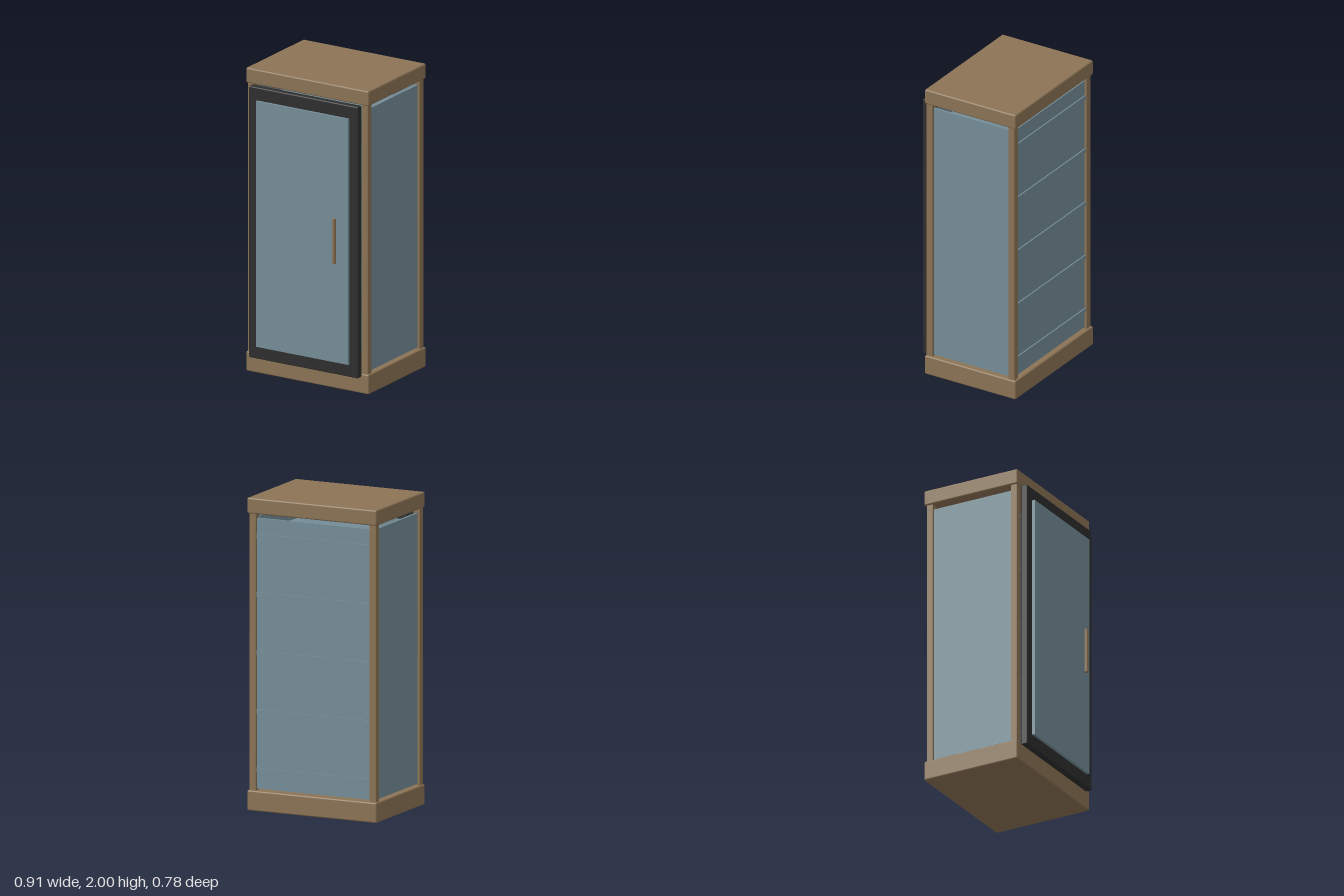
import * as THREE from 'three';
import { RoundedBoxGeometry } from 'three/addons/geometries/RoundedBoxGeometry.js';

export function createModel() {
  const group = new THREE.Group();
  const material = (name, color) => {
    const m = new THREE.MeshStandardMaterial({ color });
    m.name = name;
    return m;
  };
  const wood = material('wood', 0x8b7355);
  const frame = material('blackFrame', 0x2e2e2e);
  const glass = material('blueGlass', 0x748d98);

  const add = (name, geometry, mat, x, y, z) => {
    const mesh = new THREE.Mesh(geometry, mat);
    mesh.name = name;
    mesh.position.set(x, y, z);
    group.add(mesh);
  };
  // Box given by its lower and upper corners, optionally with rounded edges
  const box = (name, mat, [x0, y0, z0], [x1, y1, z1], r = 0) => {
    const size = [x1 - x0, y1 - y0, z1 - z0];
    const geometry = r ? new RoundedBoxGeometry(...size, 2, r) : new THREE.BoxGeometry(...size);
    add(name, geometry, mat, (x0 + x1) / 2, (y0 + y1) / 2, (z0 + z1) / 2);
  };

  // Plinth and top
  box('base', wood, [-0.455, 0, -0.39], [0.455, 0.13, 0.285], 0.01);
  box('top', wood, [-0.455, 1.9, -0.39], [0.455, 2, 0.285], 0.01);

  // Corner posts and side panels
  for (const s of [-1, 1]) {
    const x = s * 0.422;
    box('frontPost', wood, [x - 0.023, 0.12, 0.232], [x + 0.023, 1.91, 0.278], 0.004);
    box('backPost', wood, [x - 0.023, 0.12, -0.376], [x + 0.023, 1.91, -0.33], 0.004);
    box('sidePanel', glass, [x - 0.008, 0.14, -0.335], [x + 0.008, 1.87, 0.235]);
  }

  // Back panel, with shelf edges showing through it
  box('backPanel', glass, [-0.4, 0.14, -0.361], [0.4, 1.87, -0.345]);
  for (let i = 0; i < 5; i++) {
    const y = 0.26 + i * 0.374;
    box('shelf', glass, [-0.398, y - 0.014, -0.37], [0.398, y + 0.014, 0.22]);
  }

  // Door: four frame bars, glass and handle
  for (const s of [-1, 1]) {
    const x = s * 0.3725;
    box('doorStile', frame, [x - 0.0325, 0.11, 0.285], [x + 0.0325, 1.9, 0.33], 0.008);
  }
  box('doorBottomRail', frame, [-0.395, 0.11, 0.285], [0.395, 0.2, 0.33], 0.008);
  box('doorTopRail', frame, [-0.395, 1.81, 0.285], [0.395, 1.9, 0.33], 0.008);
  box('doorGlass', glass, [-0.341, 0.195, 0.325], [0.341, 1.815, 0.347]);
  add('handle', new THREE.CylinderGeometry(0.0125, 0.0125, 0.295, 16), wood, 0.256, 1.005, 0.377);

  return group;
}
